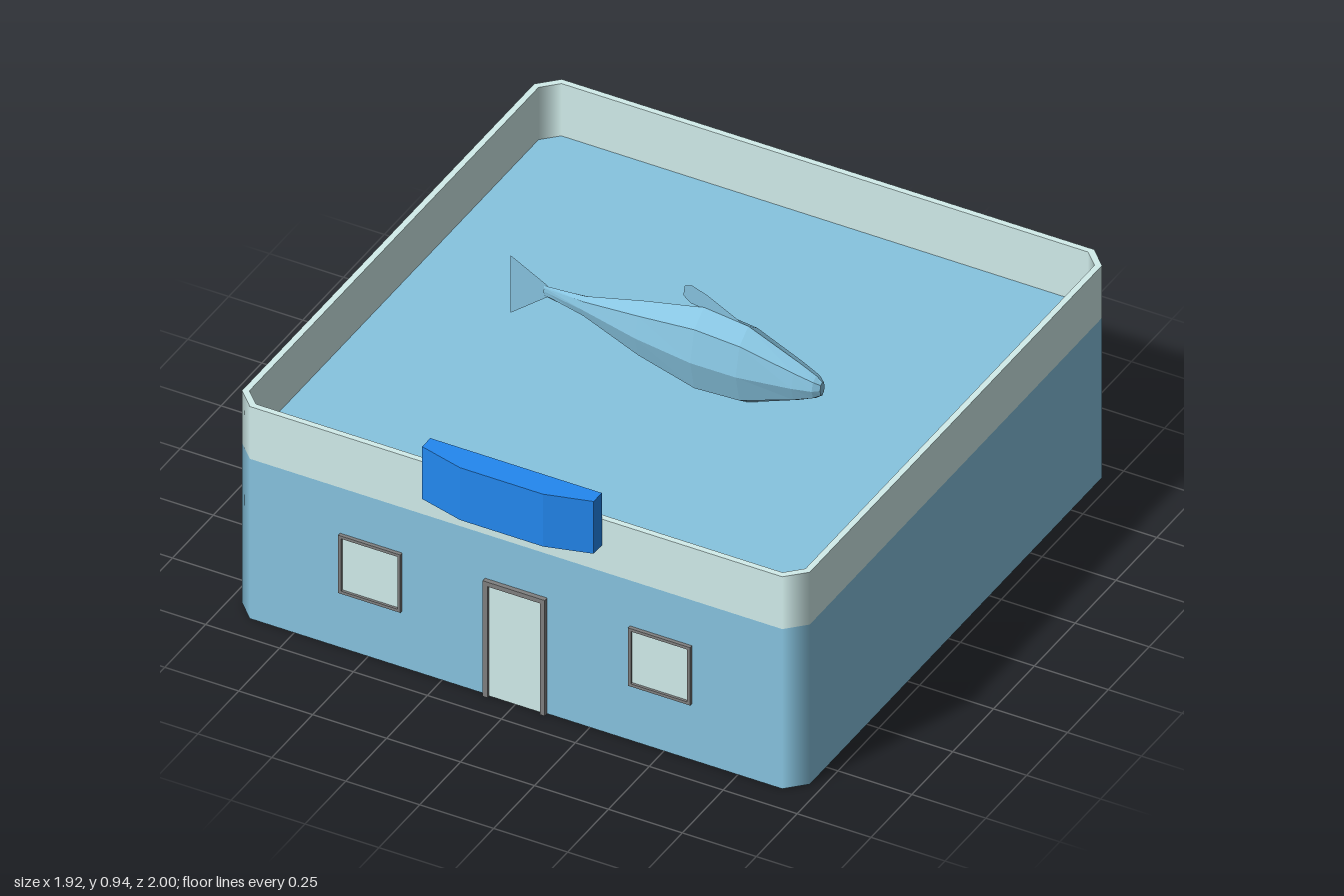
import * as THREE from 'three';

const HX = 0.96, HZ = 0.955, CUT = 0.06, T = 0.02, FRONT = 0.91, ZC = -0.045;
const mat = (color, extra = {}) => new THREE.MeshStandardMaterial({ color, ...extra });
const blue = mat(0x87c4e0), pale = mat(0xd2eeec), grey = mat(0x808080), signBlue = mat(0x2388f0);
const roofBlue = mat(0x87c4e0);
const fishBlue = mat(0x87c4e0, { flatShading: true });
const finBlue = mat(0x87c4e0, { side: THREE.DoubleSide });

function add(parent, name, geometry, material) {
  const mesh = new THREE.Mesh(geometry, material);
  mesh.name = name;
  parent.add(mesh);
  return mesh;
}

const pts = (list) => list.map(([x, y]) => new THREE.Vector2(x, y));

// Rectangle with cut corners, shrunk by an inset
function plan(inset) {
  const x = HX - inset, z = HZ - inset, c = CUT - inset * 0.5;
  return pts([[x, -z + c], [x, z - c], [x - c, z], [-x + c, z],
    [-x, z - c], [-x, -z + c], [-x + c, -z], [x - c, -z]]);
}

function raise(shape, y0, y1) {
  return new THREE.ExtrudeGeometry(shape, { depth: y1 - y0, bevelEnabled: false })
    .rotateX(-Math.PI / 2).translate(0, y0, 0);
}

// Ring of wall; the corner facets blend softly from one wall to the next
function wallRing(y0, y1) {
  const shape = new THREE.Shape(plan(0));
  shape.holes.push(new THREE.Path(plan(T).reverse()));
  const g = raise(shape, y0, y1);
  const p = g.attributes.position, n = g.attributes.normal;
  for (let i = 0; i < p.count; i++) {
    const nx = n.getX(i), nz = n.getZ(i);
    if (Math.abs(nx) < 0.1 || Math.abs(nz) < 0.1) continue;
    if (Math.abs(p.getX(i)) > HX - CUT * 0.6) n.setXYZ(i, Math.sign(nx), 0, 0);
    else n.setXYZ(i, 0, 0, Math.sign(nz));
  }
  return g.translate(0, 0, ZC);
}

// Pane through the front wall with a raised frame around it
function opening(parent, name, x, y0, y1, w, b, depth, toGround) {
  const g = new THREE.Group();
  g.name = name;
  const h = w / 2, low = toGround ? y0 : y0 + b;
  let frame;
  if (toGround) {
    frame = new THREE.Shape(pts([[-h, y0], [-h + b, y0], [-h + b, y1 - b],
      [h - b, y1 - b], [h - b, y0], [h, y0], [h, y1], [-h, y1]]));
  } else {
    frame = new THREE.Shape(pts([[-h, y0], [h, y0], [h, y1], [-h, y1]]));
    frame.holes.push(new THREE.Path(pts([[-h + b, low], [-h + b, y1 - b], [h - b, y1 - b], [h - b, low]])));
  }
  add(g, name + 'Frame', new THREE.ExtrudeGeometry(frame, { depth, bevelEnabled: false }), grey)
    .position.z = FRONT;
  const pane = new THREE.BoxGeometry(w - 2 * b, y1 - b - low, 0.028);
  add(g, name + 'Pane', pane, pale).position.set(0, (y1 - b + low) / 2, FRONT - 0.01);
  g.position.x = x;
  parent.add(g);
}

// Fish body: eight-sided sections as [x, centre height, half height, half width]
function fishBody() {
  const s = [[-0.44, 0.745, 0.018, 0.004], [-0.3, 0.737, 0.036, 0.022], [-0.1, 0.725, 0.1, 0.06],
    [0.1, 0.72, 0.15, 0.085], [0.25, 0.715, 0.138, 0.078], [0.42, 0.712, 0.068, 0.046],
    [0.48, 0.712, 0.04, 0.03], [0.5, 0.712, 0.024, 0.014]];
  const last = s.length - 1;
  const g = new THREE.CylinderGeometry(1, 1, 1, 8, last).rotateZ(-Math.PI / 2);
  const p = g.attributes.position;
  for (let i = 0; i < p.count; i++) {
    const [x, cy, h, w] = s[Math.round((p.getX(i) + 0.5) * last)];
    p.setXYZ(i, x, cy + p.getY(i) * h, p.getZ(i) * w);
  }
  g.computeVertexNormals();
  return g;
}

export function createModel() {
  const model = new THREE.Group();
  model.name = 'shopBuilding';

  // Walls, parapet and sunken roof
  add(model, 'walls', wallRing(0, 0.58), blue);
  add(model, 'parapet', wallRing(0.58, 0.77), pale);
  add(model, 'roof', raise(new THREE.Shape(plan(T)), 0.55, 0.58).translate(0, 0, ZC), roofBlue);

  // Panel on the inside of one side wall
  add(model, 'innerPanel', new THREE.BoxGeometry(0.006, 0.19, 0.81), blue)
    .position.set(-HX + T + 0.003, 0.265, -0.065);

  // Door and windows
  opening(model, 'door', 0, 0, 0.42, 0.21, 0.016, 0.015, true);
  opening(model, 'leftWindow', 0.49, 0.205, 0.415, 0.21, 0.01, 0.012, false);
  opening(model, 'rightWindow', -0.49, 0.205, 0.415, 0.21, 0.01, 0.012, false);

  // Sign board with slanted ends
  const board = new THREE.Shape(pts([[-0.29, -0.91], [-0.29, -0.96], [-0.14, -1],
    [0.14, -1], [0.29, -0.96], [0.29, -0.91]]));
  add(model, 'signBoard', raise(board, 0.675, 0.865), signBlue);

  // Fish on the roof
  const fish = new THREE.Group();
  fish.name = 'fish';
  add(fish, 'fishBody', fishBody(), fishBlue);
  const tail = new THREE.Shape(pts([[-0.555, 0.835], [-0.555, 0.625], [-0.43, 0.725], [-0.43, 0.768]]));
  add(fish, 'tailFin', new THREE.ShapeGeometry(tail), finBlue);
  const dorsal = new THREE.Shape(pts([[0.28, 0.83], [0.2, 0.872], [0.11, 0.918], [0.06, 0.935],
    [0.035, 0.927], [0.03, 0.89], [0.055, 0.87], [0.13, 0.86]]));
  add(fish, 'dorsalFin', new THREE.ShapeGeometry(dorsal), finBlue);
  fish.position.z = -0.06;
  model.add(fish);

  return model;
}
